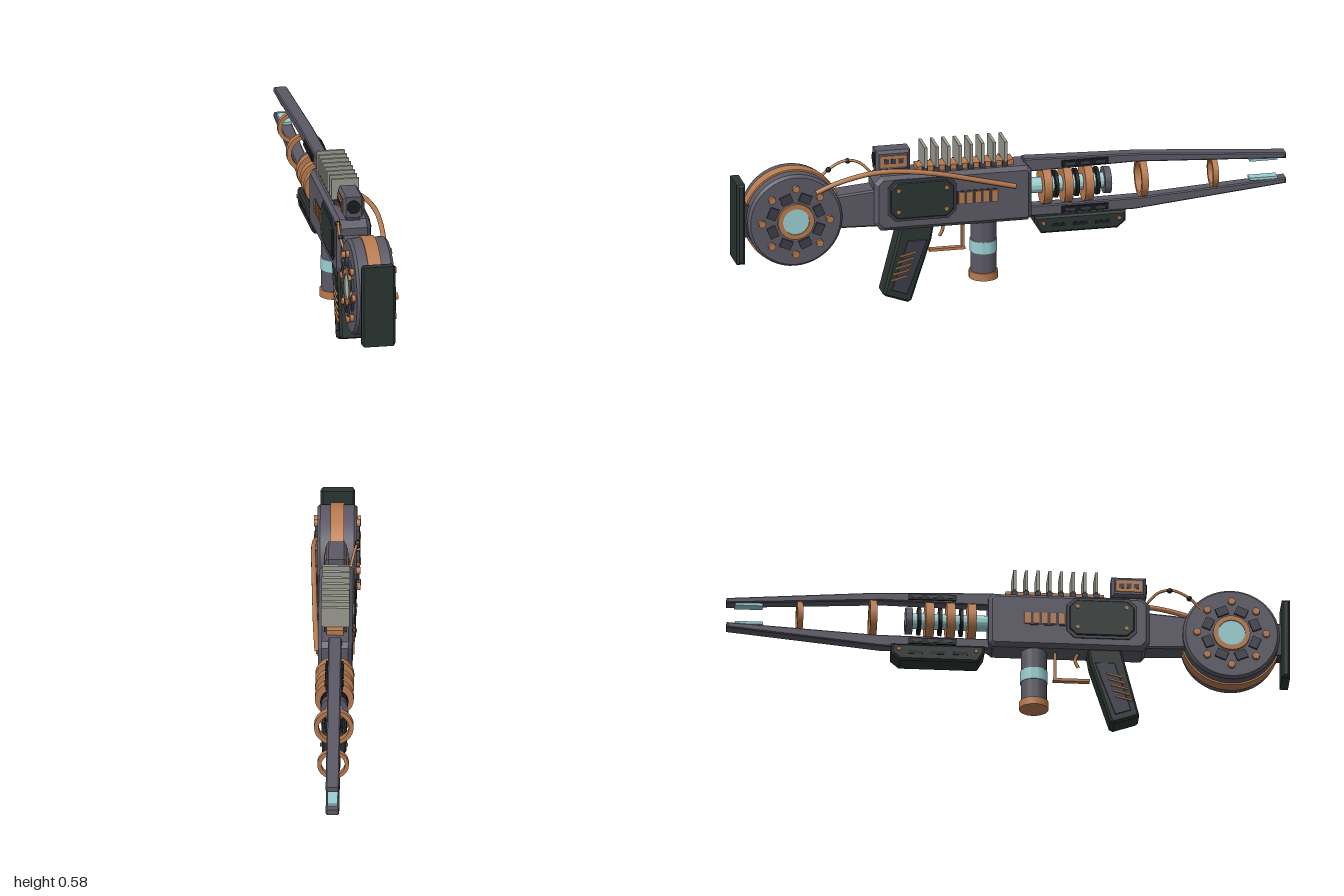
import * as THREE from 'three';
import { toCreasedNormals } from 'three/addons/utils/BufferGeometryUtils.js';

const paint = (name, color) => {
  const m = new THREE.MeshStandardMaterial({ color });
  m.name = name;
  return m;
};

export function createModel() {
  const model = new THREE.Group();
  model.name = 'coilRifle';
  const steel = paint('gunmetal', 0x5b5965);
  const darkSteel = paint('darkSteel', 0x3c3c48);
  const green = paint('darkGreen', 0x2b3532);
  const black = paint('black', 0x191c1f);
  const copper = paint('copper', 0xb97b50);
  const teal = paint('paleTeal', 0x9bd0d3);
  const ash = paint('ashGrey', 0x9b9b91);

  const add = (name, geo, mat, x = 0, y = 0, z = 0, parent = model) => {
    const m = new THREE.Mesh(geo, mat);
    m.name = name;
    m.position.set(x, y, z);
    parent.add(m);
    return m;
  };
  const box = (name, w, h, d, mat, x, y, z, parent) =>
    add(name, new THREE.BoxGeometry(w, h, d), mat, x, y, z, parent);

  // Side profile in (z, y) points, extruded to width w across x, with a small chamfer
  const slab = (name, pts, w, mat, x = 0, b = 0.006) => {
    const shape = new THREE.Shape(pts.map(p => new THREE.Vector2(p[0], p[1])));
    const g = new THREE.ExtrudeGeometry(shape, {
      depth: w - 2 * b, bevelEnabled: b > 0, bevelSize: b, bevelOffset: -b,
      bevelThickness: b, bevelSegments: 1,
    });
    g.translate(0, 0, -(w - 2 * b) / 2).rotateY(-Math.PI / 2);
    return add(name, g, mat, x);
  };
  const rect = (z0, z1, y0, y1) => [[z0, y0], [z1, y0], [z1, y1], [z0, y1]];
  const cut = (z0, z1, y0, y1, c) => [[z0 + c, y0], [z1 - c, y0], [z1, y0 + c], [z1, y1 - c],
    [z1 - c, y1], [z0 + c, y1], [z0, y1 - c], [z0, y0 + c]];

  // Turned part from (radius, height) points; axis is 'x', 'y' or 'z'
  const turned = (name, pts, axis, mat, x, y, z, seg = 32) => {
    let g = new THREE.LatheGeometry(pts.map(p => new THREE.Vector2(p[0], p[1])), seg);
    if (axis === 'x') g.rotateZ(-Math.PI / 2);
    if (axis === 'z') g.rotateX(Math.PI / 2);
    g = toCreasedNormals(g, 0.5);
    return add(name, g, mat, x, y, z);
  };
  const disc = (r, h) => [[0, -h / 2], [r, -h / 2], [r, h / 2], [0, h / 2]];
  const hoop = (ri, ro, h) => [[ri, -h / 2], [ro, -h / 2], [ro, h / 2], [ri, h / 2], [ri, -h / 2]];
  const tube = (name, pts, r, mat) => {
    const curve = new THREE.CatmullRomCurve3(pts.map(p => new THREE.Vector3(...p)));
    return add(name, new THREE.TubeGeometry(curve, 40, r, 10), mat);
  };

  // Butt pad
  slab('buttPad', rect(0.97, 1.0, 0.2, 0.5), 0.122, green, 0, 0.008);
  box('buttMount', 0.07, 0.12, 0.03, darkSteel, 0, 0.355, 0.96);

  // Drum with a copper band and matching details on both faces
  const dy = 0.355, dz = 0.79;
  turned('drum', [[0, -0.07], [0.163, -0.07], [0.172, -0.06], [0.172, 0.06], [0.163, 0.07], [0, 0.07]],
    'x', steel, 0, dy, dz, 48);
  turned('drumBand', disc(0.178, 0.048), 'x', copper, 0, dy, dz, 48);
  for (const s of [-1, 1]) {
    turned('drumRing', hoop(0.048, 0.066, 0.016), 'x', copper, s * 0.073, dy, dz);
    turned('drumLens', disc(0.049, 0.012), 'x', teal, s * 0.071, dy, dz);
    for (let i = 0; i < 8; i++) {
      const a = i * Math.PI / 4, c = Math.cos(a), n = Math.sin(a);
      turned('drumBolt', disc(0.013, 0.016), 'x', copper, s * 0.075, dy + c * 0.123, dz + n * 0.123, 12);
      const b = a + Math.PI / 8;
      const block = box('drumBlock', 0.014, 0.032, 0.042, darkSteel,
        s * 0.072, dy + Math.cos(b) * 0.09, dz + Math.sin(b) * 0.09);
      block.rotation.x = b;
    }
  }

  // Neck and receiver
  slab('neck', [[0.48, 0.3], [0.66, 0.305], [0.66, 0.425], [0.48, 0.44]], 0.09, steel);
  slab('receiver', [[-0.072, 0.3], [-0.055, 0.285], [0.475, 0.285], [0.5, 0.315], [0.5, 0.465],
    [0.475, 0.49], [-0.055, 0.49], [-0.072, 0.472]], 0.122, steel, 0, 0.014);
  for (const s of [-1, 1]) {
    slab('sidePanelFrame', cut(0.205, 0.455, 0.322, 0.477, 0.028), 0.008, darkSteel, s * 0.062, 0);
    slab('sidePanel', cut(0.215, 0.445, 0.332, 0.467, 0.025), 0.012, green, s * 0.065, 0.003);
    for (const z of [0.243, 0.417]) for (const y of [0.36, 0.44])
      turned('panelBolt', disc(0.007, 0.01), 'x', copper, s * 0.07, y, z, 10);
    box('ventBacking', 0.006, 0.05, 0.15, darkSteel, s * 0.0605, 0.393, 0.127);
    for (let i = 0; i < 5; i++)
      box('ventSlat', 0.012, 0.042, 0.02, copper, s * 0.062, 0.393, 0.067 + i * 0.03);
  }

  // Cooling fins on a copper strip
  box('finStrip', 0.06, 0.022, 0.35, copper, 0, 0.498, 0.165);
  for (let i = 0; i < 8; i++) {
    const z = 0.022 + i * 0.0415;
    box('coolingFin', 0.1, 0.077, 0.011, ash, 0, 0.547, z);
    box('finFoot', 0.08, 0.02, 0.02, darkSteel, 0, 0.499, z);
  }

  // Sight housing
  box('sightBase', 0.05, 0.03, 0.1, darkSteel, 0, 0.495, 0.428);
  slab('sightBody', rect(0.366, 0.49, 0.502, 0.579), 0.074, steel, 0, 0.01);
  for (const s of [-1, 1]) {
    box('sightPlate', 0.008, 0.042, 0.094, copper, s * 0.037, 0.541, 0.428);
    for (const z of [0.402, 0.428, 0.454])
      box('sightSlot', 0.004, 0.018, 0.018, darkSteel, s * 0.041, 0.541, z);
  }
  turned('sightLens', disc(0.025, 0.008), 'z', black, 0, 0.541, 0.489);

  // Cables: thick on the left, thin on the right
  tube('mainCable', [[0.07, 0.455, 0.715], [0.078, 0.485, 0.65], [0.082, 0.515, 0.53], [0.08, 0.517, 0.43],
    [0.076, 0.495, 0.28], [0.071, 0.455, 0.12], [0.064, 0.42, -0.01]], 0.009, copper);
  tube('thinCable', [[-0.064, 0.44, 0.69], [-0.075, 0.485, 0.64], [-0.072, 0.515, 0.58],
    [-0.062, 0.508, 0.53], [-0.05, 0.47, 0.49]], 0.005, copper);
  for (const [y, z] of [[0.485, 0.64], [0.513, 0.57]])
    add('cableJoint', new THREE.SphereGeometry(0.01, 12, 8), black, -0.073, y, z);

  // Pistol grip with inset cheeks and ribs
  slab('grip', [[0.28, 0.295], [0.4, 0.295], [0.465, 0.04], [0.455, 0.032], [0.375, 0.004],
    [0.362, 0.012], [0.29, 0.235]], 0.086, green, 0, 0.008);
  slab('gripCheek', [[0.305, 0.238], [0.378, 0.238], [0.437, 0.055], [0.378, 0.035]], 0.09, darkSteel, 0, 0.003);
  for (let i = 0; i < 5; i++) {
    const rib = box('gripRib', 0.1, 0.006, 0.062, copper, 0, 0.1 + i * 0.022, 0.409 - i * 0.008);
    rib.rotation.x = 0.25;
  }

  // Trigger and guard
  box('guardPost', 0.02, 0.11, 0.01, copper, 0, 0.235, 0.168);
  box('guardBar', 0.02, 0.01, 0.13, copper, 0, 0.182, 0.226);
  tube('trigger', [[0, 0.29, 0.25], [0, 0.262, 0.24], [0, 0.232, 0.252]], 0.006, copper);

  // Power cell under the receiver
  turned('cellBody', disc(0.046, 0.22), 'y', steel, 0, 0.185, 0.093);
  turned('cellBand', disc(0.049, 0.044), 'y', teal, 0, 0.188, 0.093);
  turned('cellCap', disc(0.052, 0.028), 'y', copper, 0, 0.079, 0.093);

  // Twin rails tapering to the muzzle
  slab('upperRail', [[-0.05, 0.455], [-0.05, 0.505], [-0.47, 0.492], [-1, 0.452], [-1, 0.432],
    [-0.45, 0.462]].reverse(), 0.048, steel, 0, 0.004);
  slab('lowerRail', [[-0.05, 0.325], [-0.05, 0.287], [-0.45, 0.284], [-1, 0.338], [-1, 0.358],
    [-0.47, 0.328]], 0.048, steel, 0, 0.004);
  box('upperEmitter', 0.036, 0.01, 0.1, teal, 0, 0.432, -0.92);
  box('lowerEmitter', 0.036, 0.01, 0.1, teal, 0, 0.36, -0.92);

  // Slotted dark plates along the rails
  for (const [y, name] of [[0.478, 'upperSidePlate'], [0.306, 'lowerSidePlate']]) {
    box(name, 0.062, 0.022, 0.17, black, 0, y, -0.27);
    for (let i = 0; i < 3; i++)
      box('plateLug', 0.068, 0.01, 0.032, darkSteel, 0, y, -0.215 - i * 0.055);
  }

  // Coil core, windings and free rings between the rails
  const cy = 0.395;
  turned('coilCore', disc(0.028, 0.3), 'z', teal, 0, cy, -0.215);
  for (const z of [-0.13, -0.205, -0.28]) {
    turned('coilWinding', hoop(0.026, 0.069, 0.03), 'z', copper, 0, cy, z);
    turned('coilSpacer', disc(0.05, 0.012), 'z', black, 0, cy, z - 0.036);
  }
  turned('coilEnd', hoop(0.026, 0.048, 0.024), 'z', steel, 0, cy, -0.352);
  turned('coilLens', disc(0.027, 0.012), 'z', teal, 0, cy, -0.355);
  turned('largeRing', hoop(0.054, 0.07, 0.024), 'z', copper, 0, cy, -0.48);
  turned('smallRing', hoop(0.042, 0.056, 0.02), 'z', copper, 0, cy, -0.74);

  // Fore grip
  slab('foreGrip', [[-0.085, 0.288], [-0.085, 0.262], [-0.108, 0.225], [-0.385, 0.225], [-0.415, 0.25],
    [-0.415, 0.288]].reverse(), 0.086, green, 0, 0.007);
  for (const s of [-1, 1]) {
    for (let i = 0; i < 3; i++)
      box('foreGripSlot', 0.006, 0.012, 0.05, black, s * 0.042, 0.255, -0.17 - i * 0.08);
    for (const z of [-0.115, -0.39])
      turned('foreGripBolt', disc(0.007, 0.012), 'x', copper, s * 0.043, 0.265, z, 10);
  }

  for (const part of model.children) part.position.x -= 0.004;
  return model;
}
